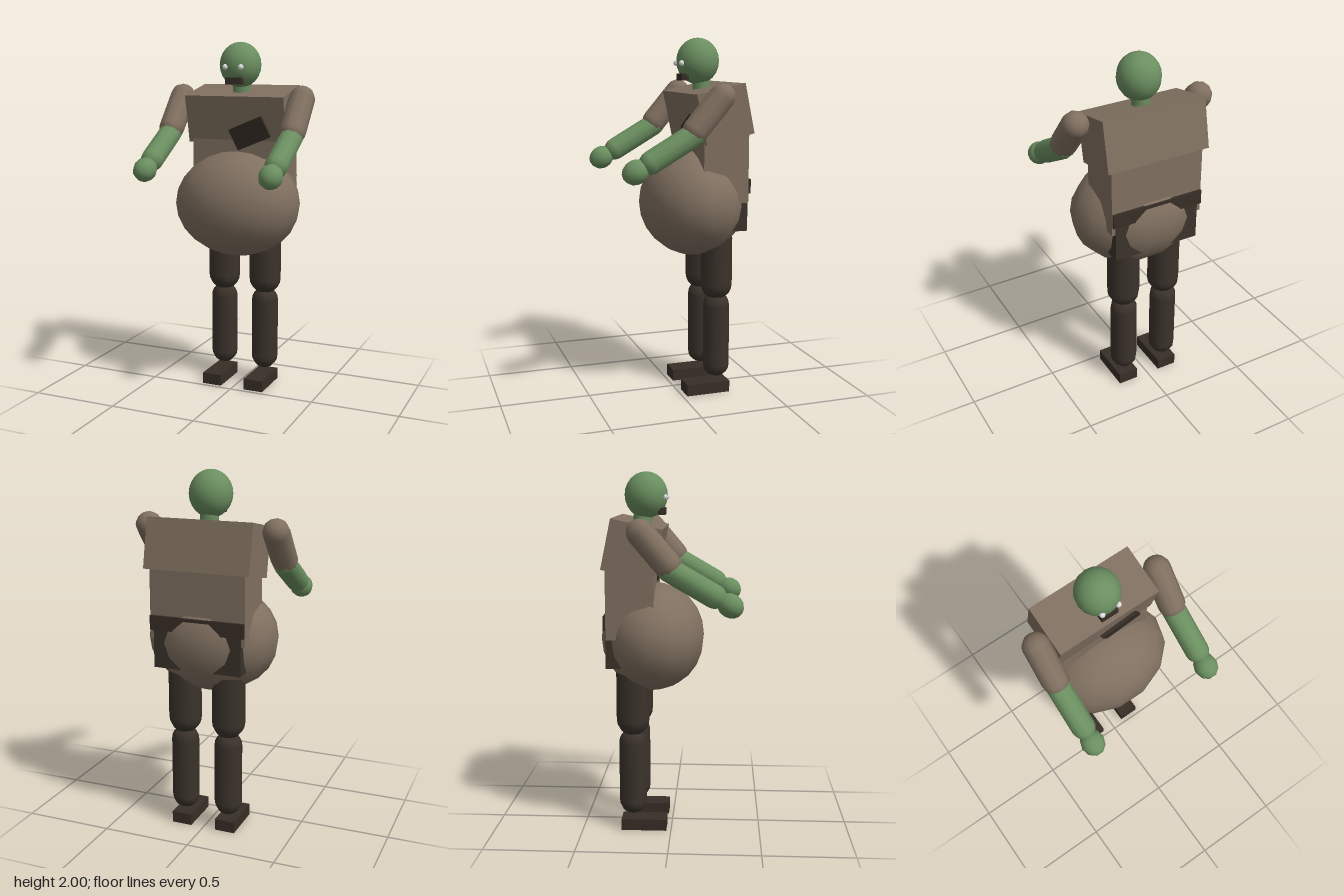
import * as THREE from 'three';

const paint = (name, color) => {
  const m = new THREE.MeshStandardMaterial({ color });
  m.name = name;
  return m;
};

export function createModel() {
  const group = new THREE.Group();
  const shirt = paint('brown cloth', 0x807060);
  const skin = paint('green skin', 0x6b8f60);
  const trousers = paint('dark trousers', 0x3b332b);
  const leather = paint('dark leather', 0x382e27);
  const eyeWhite = paint('eye white', 0xdddddd);

  const add = (name, geometry, material, x = 0, y = 0, z = 0, parent = group) => {
    const mesh = new THREE.Mesh(geometry, material);
    mesh.name = name;
    mesh.position.set(x, y, z);
    parent.add(mesh);
    return mesh;
  };
  const box = (w, h, d) => new THREE.BoxGeometry(w, h, d);
  const ball = (rx, ry, rz, w = 14, h = 10) => new THREE.SphereGeometry(1, w, h).scale(rx, ry, rz);

  // Ten-sided capsule whose cap centres are at (x, y0, z0) and (x, y1, z1)
  const limb = (name, material, r, x, y0, z0, y1, z1) => {
    const dir = new THREE.Vector3(0, y1 - y0, z1 - z0);
    const geometry = new THREE.CapsuleGeometry(r, dir.length(), 5, 10).rotateY(Math.PI / 2);
    const mesh = add(name, geometry, material, x, (y0 + y1) / 2, (z0 + z1) / 2);
    mesh.rotation.x = Math.atan2(dir.z, dir.y);
    return mesh;
  };

  // Body
  add('belly', ball(0.37, 0.302, 0.29, 14, 12), shirt, 0, 1.09, -0.108);
  add('waist', box(0.54, 0.42, 0.258), shirt, 0, 1.32, -0.217);
  const chest = add('chest', box(0.594, 0.273, 0.279), shirt, 0, 1.596, -0.201);
  chest.rotation.x = 0.206;
  add('pelvis', box(0.5, 0.25, 0.25), trousers, 0, 1.075, -0.225);
  add('belt', box(0.535, 0.08, 0.255), leather, 0, 1.2, -0.233);

  // Slanted patch on the chest
  const patch = add('chestPatch', box(0.218, 0.128, 0.02), leather, 0.087, -0.07, 0.147, chest);
  patch.rotation.z = 0.396;

  // Head
  add('neck', new THREE.CylinderGeometry(0.05, 0.05, 0.12, 10), skin, 0, 1.755, -0.165);
  add('head', ball(0.117, 0.127, 0.119, 16, 12), skin, 0, 1.873, -0.145);
  add('mouth', box(0.097, 0.038, 0.04), leather, 0, 1.786, -0.057);

  for (const [side, s] of [['left', 1], ['right', -1]]) {
    add(side + 'Eye', ball(0.016, 0.016, 0.016, 10, 8), eyeWhite, s * 0.047, 1.862, -0.036);

    // Arms
    limb(side + 'UpperArm', shirt, 0.073, s * 0.365, 1.522, -0.005, 1.69, -0.148);
    limb(side + 'Forearm', skin, 0.064, s * 0.365, 1.5, 0.0, 1.363, 0.237);
    const hand = add(side + 'Hand', ball(0.065, 0.064, 0.074, 10, 8), skin, s * 0.365, 1.316, 0.32);
    hand.rotation.x = 0.52;

    // Legs
    limb(side + 'Thigh', trousers, 0.092, s * 0.13, 0.637, -0.215, 0.9, -0.215);
    limb(side + 'Shin', trousers, 0.077, s * 0.13, 0.163, -0.217, 0.505, -0.217);
    add(side + 'Foot', box(0.116, 0.065, 0.254), leather, s * 0.131, 0.0325, -0.153);
  }
  return group;
}
